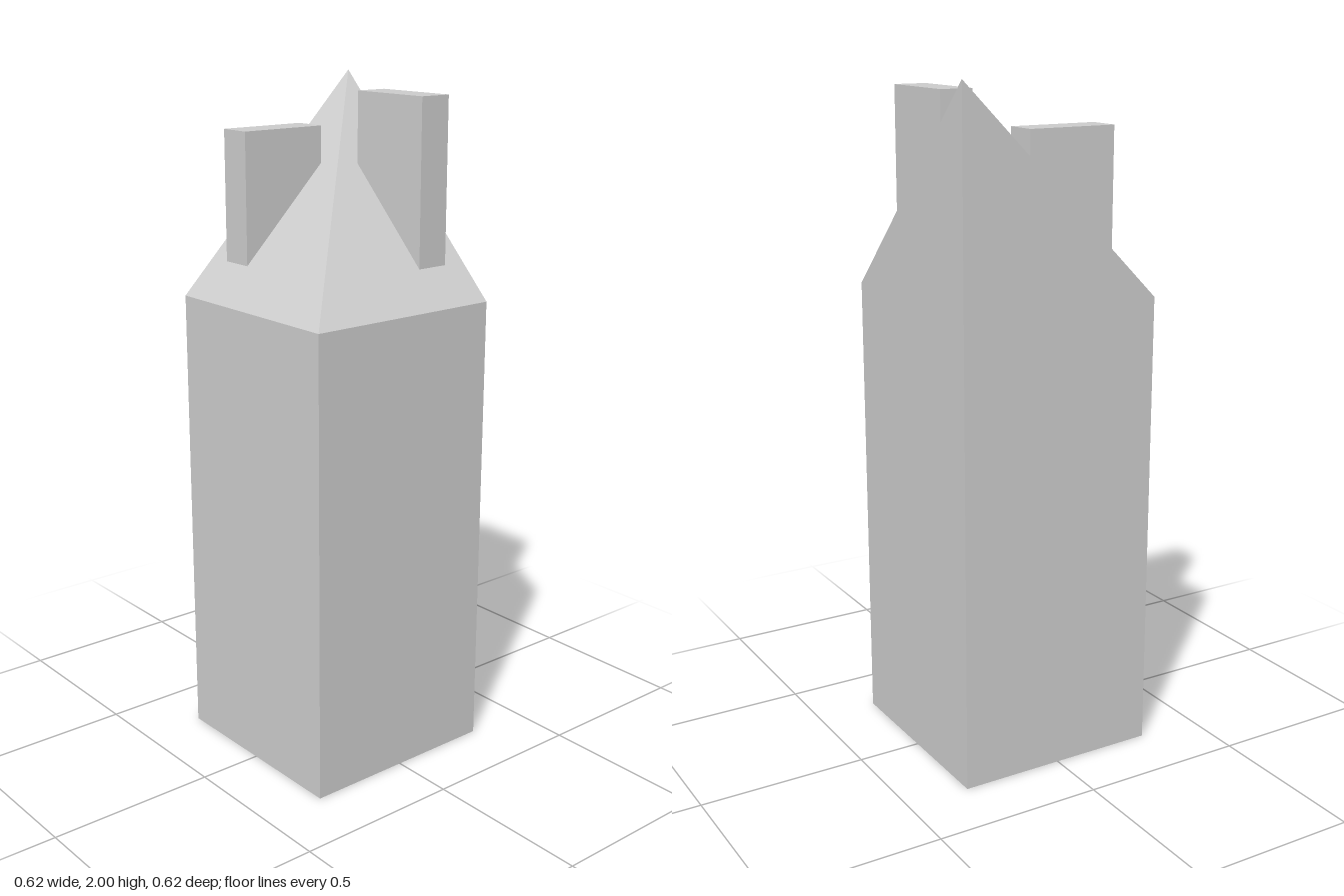
import * as THREE from 'three';
import { ConvexGeometry } from 'three/addons/geometries/ConvexGeometry.js';

const HALF = 0.31;  // half width of the square tower
const EAVES = 1.38; // wall height
const PEAK = 2;     // roof tip, above the back right corner

export function createModel() {
  const group = new THREE.Group();
  const stone = new THREE.MeshStandardMaterial({ color: 0xcccccc });
  stone.name = 'light grey';

  function add(name, geometry) {
    const mesh = new THREE.Mesh(geometry, stone);
    mesh.name = name;
    group.add(mesh);
  }

  function block(name, [x0, x1], [y0, y1], [z0, z1]) {
    const geometry = new THREE.BoxGeometry(x1 - x0, y1 - y0, z1 - z0);
    geometry.translate((x0 + x1) / 2, (y0 + y1) / 2, (z0 + z1) / 2);
    add(name, geometry);
  }

  // Square tower walls
  block('walls', [-HALF, HALF], [0, EAVES], [-HALF, HALF]);

  // Pyramid roof with its tip over one corner
  add('roof', new ConvexGeometry([
    new THREE.Vector3(-HALF, EAVES, -HALF),
    new THREE.Vector3(HALF, EAVES, -HALF),
    new THREE.Vector3(HALF, EAVES, HALF),
    new THREE.Vector3(-HALF, EAVES, HALF),
    new THREE.Vector3(-HALF, PEAK, -HALF),
  ]));

  // Chimney slabs, sunk into the two roof slopes
  const along = [-0.062, 0.21];
  const across = [-0.238, -0.138];
  block('tallChimney', along, [1.44, 1.96], across);
  block('shortChimney', across, [1.44, 1.86], along);

  return group;
}
